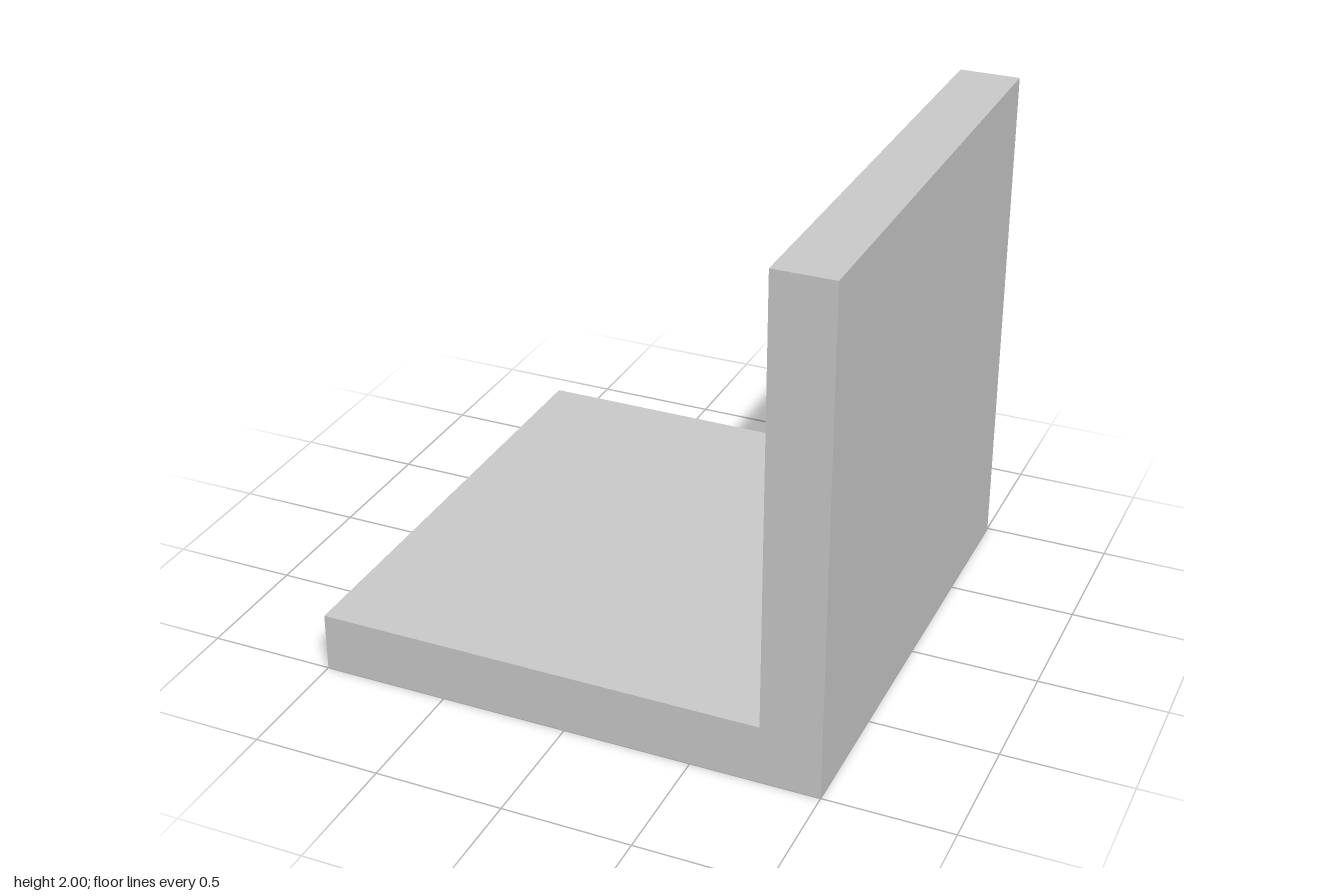
import * as THREE from 'three';

export function createModel() {
  const group = new THREE.Group();
  group.name = 'angleBracket';

  const half = 1, height = 2, thickness = 0.235;

  // L-shaped profile: flat base with an upright wall on the +x side
  const profile = new THREE.Shape([
    [-half, 0],
    [half, 0],
    [half, height],
    [half - thickness, height],
    [half - thickness, thickness],
    [-half, thickness],
  ].map(([x, y]) => new THREE.Vector2(x, y)));

  // Extruded along the full depth and centred on z
  const geometry = new THREE.ExtrudeGeometry(profile, { depth: 2 * half, bevelEnabled: false });
  geometry.translate(0, 0, -half);

  const bracket = new THREE.Mesh(
    geometry,
    new THREE.MeshStandardMaterial({ color: 0xcccccc, flatShading: true })
  );
  bracket.name = 'baseAndWall';
  group.add(bracket);

  return group;
}
